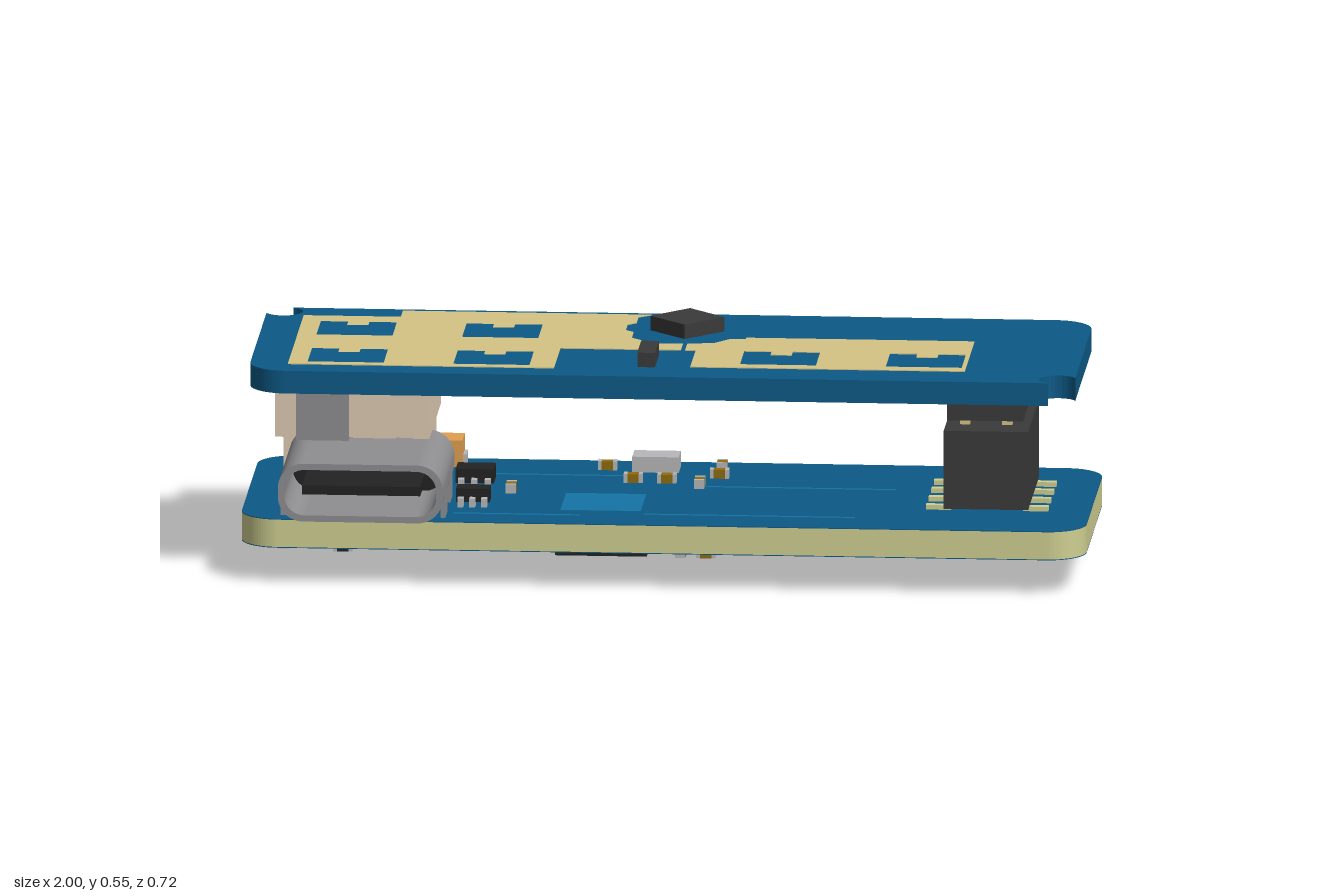
import * as THREE from 'three';

const COL = { blue: 0x0c5a87, light: 0x1474a6, khaki: 0xcfcf92, gold: 0xd6c485, dark: 0x3a3a3a, black: 0x222222,
  metal: 0x8f8f92, silver: 0xb8b8ba, beige: 0xdfccb4, orange: 0xe0a050, brass: 0x8f6c10, button: 0xb5afa6 };
const mats = {};
const mat = c => mats[c] ??= new THREE.MeshStandardMaterial({ color: COL[c] });

function add(parent, name, geo, color) {
  const m = new THREE.Mesh(geo, mat(color));
  m.name = name;
  parent.add(m);
  return m;
}
// box given by its extents on each axis
function box(parent, name, color, [x0, x1], [y0, y1], [z0, z1]) {
  const m = add(parent, name, new THREE.BoxGeometry(x1 - x0, y1 - y0, z1 - z0), color);
  m.position.set((x0 + x1) / 2, (y0 + y1) / 2, (z0 + z1) / 2);
  return m;
}
// closed outline from [x, z] pairs
const path = (pts, Type = THREE.Shape) => new Type(pts.map(([x, z]) => new THREE.Vector2(x, -z)));
// horizontal plate from a shape, between two heights
function plate(parent, name, color, shape, y0, y1) {
  const g = new THREE.ExtrudeGeometry(shape, { depth: y1 - y0, bevelEnabled: false, curveSegments: 10 });
  g.rotateX(-Math.PI / 2).translate(0, y0, 0);
  return add(parent, name, g, color);
}
function roundRect(x0, x1, y0, y1, r, Type = THREE.Shape) {
  const s = new Type(), P = Math.PI;
  s.absarc(x1 - r, y0 + r, r, -P / 2, 0);
  s.absarc(x1 - r, y1 - r, r, 0, P / 2);
  s.absarc(x0 + r, y1 - r, r, P / 2, P);
  s.absarc(x0 + r, y0 + r, r, P, P * 1.5);
  s.closePath();
  return s;
}

function lowerBoard(g) {
  const s = roundRect(-1, 1, -0.31, 0.36, 0.09);
  plate(g, 'boardCore', 'khaki', s, 0.089, 0.155);
  plate(g, 'boardTopMask', 'blue', s, 0.155, 0.157);
  plate(g, 'boardBottomMask', 'blue', s, 0.087, 0.089);
  box(g, 'copperPatch', 'light', [-0.25, -0.06], [0.157, 0.158], [-0.01, 0.17]);
  // traces on the upper face
  for (const [x, z, w] of [[0.2, 0.2, 0.5], [0.3, -0.1, 0.45], [-0.35, 0.22, 0.3], [-0.3, -0.2, 0.35]])
    box(g, 'trace', 'light', [x - w / 2, x + w / 2], [0.157, 0.158], [z - 0.005, z + 0.005]);
  // meander antenna on the lower face
  const w = 0.008;
  const run = [[0.32, 0.08], [0.32, -0.2], [0.52, -0.2], [0.52, 0.0], [0.6, 0.0], [0.6, -0.2], [0.68, -0.2], [0.68, 0.0],
    [0.76, 0.0], [0.76, -0.2], [0.84, -0.2], [0.84, 0.22]];
  for (let i = 1; i < run.length; i++) {
    const [a, b] = [run[i - 1], run[i]];
    box(g, 'antennaTrace', 'light', [Math.min(a[0], b[0]) - w, Math.max(a[0], b[0]) + w], [0.0862, 0.087],
      [Math.min(a[1], b[1]) - w, Math.max(a[1], b[1]) + w]);
  }
}

function upperBoard(g) {
  const s = new THREE.Shape(), P = Math.PI, r = 0.0447, r2 = 0.09;
  // two opposite corners are rounded, the other two have round notches
  s.absarc(-0.98 + r2, -0.31 + r2, r2, P, P * 1.5);
  s.absarc(0.935, -0.27, r, P + 1.107, 0.4636, true);
  s.absarc(0.975 - r2, 0.356 - r2, r2, 0, P / 2);
  s.absarc(-0.94, 0.316, r, 1.107, P + 0.4636, true);
  s.closePath();
  plate(g, 'upperBoard', 'blue', s, 0.461, 0.516);

  // gold areas with notched windows
  const left = path([[-0.89, -0.27], [-0.66, -0.27], [-0.66, -0.335], [-0.07, -0.335], [-0.1, -0.31], [-0.1, -0.25],
    [-0.12, -0.23], [-0.12, -0.17], [-0.1, -0.15], [-0.1, -0.09], [-0.07, -0.06], [-0.03, -0.035], [0.025, -0.035],
    [0.025, 0.03], [-0.26, 0.03], [-0.26, 0.24], [-0.89, 0.24]]);
  const right = path([[0.06, 0.205], [0.71, 0.205], [0.71, -0.11], [0.17, -0.11], [0.17, -0.095], [0.13, -0.09],
    [0.1, -0.05], [0.035, -0.035], [0.035, 0.03], [0.06, 0.03]]);
  const win = (x, z) => path([[x - 0.09, z - 0.07], [x - 0.025, z - 0.07], [x - 0.025, z - 0.035], [x + 0.025, z - 0.035],
    [x + 0.025, z - 0.07], [x + 0.09, z - 0.07], [x + 0.09, z + 0.07], [x - 0.09, z + 0.07]], THREE.Path);
  for (const x of [-0.755, -0.41]) for (const z of [-0.14, 0.145]) left.holes.push(win(x, z));
  for (const x of [0.265, 0.61]) right.holes.push(win(x, 0.1));
  plate(g, 'goldAreaRight', 'gold', left, 0.516, 0.518);
  plate(g, 'goldAreaLeft', 'gold', right, 0.516, 0.518);

  const chip = box(g, 'sensorChip', 'dark', [-0.037, 0.087], [0.516, 0.551], [-0.242, -0.118]);
  chip.rotation.y = Math.PI / 4;
  box(g, 'smallChip', 'dark', [-0.065, -0.023], [0.516, 0.551], [0.083, 0.21]);
}

function usbPort(g) {
  const s = roundRect(-0.905, -0.515, 0.163, 0.303, 0.06);
  s.holes.push(roundRect(-0.89, -0.53, 0.178, 0.288, 0.048, THREE.Path));
  const shell = new THREE.ExtrudeGeometry(s, { depth: 0.38, bevelEnabled: false, curveSegments: 10 });
  add(g, 'portShell', shell.translate(0, 0, -0.02), 'metal');
  const back = new THREE.ExtrudeGeometry(roundRect(-0.89, -0.53, 0.178, 0.288, 0.048), { depth: 0.1, bevelEnabled: false });
  add(g, 'portInside', back.translate(0, 0, -0.02), 'black');
  box(g, 'portTongue', 'black', [-0.85, -0.57], [0.222, 0.244], [0.08, 0.33]);
  for (const x of [-0.905, -0.527]) for (const z of [0.04, 0.2])
    box(g, 'portLeg', 'metal', [x, x + 0.012], [0.15, 0.235], [z, z + 0.07]);
}

function plugStack(g) {
  // socket standing behind the port
  box(g, 'socketBase', 'beige', [-0.92, -0.57], [0.157, 0.2], [-0.2, -0.03]);
  box(g, 'socketBack', 'beige', [-0.92, -0.57], [0.2, 0.33], [-0.2, -0.15]);
  for (const x of [-0.92, -0.6]) box(g, 'socketSide', 'beige', [x, x + 0.03], [0.2, 0.33], [-0.15, -0.03]);
  // housing hanging from the upper board
  box(g, 'plugBody', 'beige', [-0.9, -0.58], [0.31, 0.461], [-0.19, 0.1]);
  for (const x of [-0.925, -0.74, -0.6]) {
    const w = x === -0.74 ? 0.1 : 0.04;
    box(g, 'plugWall', 'beige', [x, x + w], [0.325, 0.45], [-0.205, 0.175]);
  }
  box(g, 'plugClip', 'metal', [-0.88, -0.755], [0.305, 0.455], [0.08, 0.12]);
  for (const x of [-0.86, -0.74, -0.62]) box(g, 'plugPin', 'silver', [x - 0.015, x + 0.015], [0.2, 0.461], [-0.215, -0.19]);
}

function header(g) {
  box(g, 'headerSocket', 'dark', [0.655, 0.855], [0.168, 0.357], [-0.22, 0.137]);
  for (const z of [0.053, -0.037, -0.128]) {
    box(g, 'headerBlock', 'dark', [0.66, 0.84], [0.373, 0.442], [z - 0.042, z + 0.042]);
    box(g, 'headerBlockTop', 'dark', [0.68, 0.82], [0.442, 0.461], [z - 0.036, z + 0.036]);
    for (const x of [0.7, 0.8]) box(g, 'headerPin', 'gold', [x - 0.012, x + 0.012], [0.357, 0.373], [z - 0.012, z + 0.012]);
  }
  for (const z of [0.09, 0.003, -0.086, -0.17]) for (const x of [0.64, 0.87])
    box(g, 'headerFoot', 'khaki', [x - 0.03, x + 0.03], [0.157, 0.168], [z - 0.01, z + 0.01]);
}

// two-ended surface part; dir is +1 above the board, -1 below
function passive(g, x, z, dir, alongX = true, body = 'brass', L = 0.045, W = 0.024, H = 0.022) {
  const p = new THREE.Group();
  p.name = 'surfacePart';
  box(p, 'body', body, [-L * 0.3, L * 0.3], [0, H * 0.95], [-W / 2, W / 2]);
  for (const s of [-1, 1]) box(p, 'endCap', 'silver', [s * L * 0.4 - L * 0.1, s * L * 0.4 + L * 0.1], [0, H], [-W / 2, W / 2]);
  p.position.set(x, dir > 0 ? 0.157 : 0.087 - H, z);
  if (!alongX) p.rotation.y = Math.PI / 2;
  g.add(p);
}

// small black chip with side legs
function legChip(g, x, z, w, d, h) {
  box(g, 'legChipBody', 'black', [x - w / 2, x + w / 2], [0.165, 0.157 + h], [z - d / 2, z + d / 2]);
  for (const s of [-1, 1]) for (const k of [-1, 0, 1])
    box(g, 'chipLeg', 'silver', [x + k * w * 0.35 - 0.007, x + k * w * 0.35 + 0.007], [0.157, 0.178],
      [z + s * (d / 2 + 0.01) - 0.012, z + s * (d / 2 + 0.01) + 0.012]);
}

function topParts(g) {
  for (const x of [-0.56, -0.83]) {
    box(g, 'orangeCapacitor', 'orange', [x - 0.05, x + 0.05], [0.168, 0.232], [-0.3, -0.22]);
    for (const s of [-1, 1]) box(g, 'capacitorEnd', 'silver', [x + s * 0.05 - 0.008, x + s * 0.05 + 0.008], [0.157, 0.195], [-0.285, -0.235]);
  }
  legChip(g, -0.7, -0.26, 0.1, 0.07, 0.045);
  legChip(g, -0.47, -0.1, 0.09, 0.07, 0.042);
  legChip(g, -0.46, 0.11, 0.08, 0.05, 0.04);
  box(g, 'greyButton', 'silver', [-0.11, 0], [0.157, 0.195], [-0.31, -0.24]);
  for (const [x, z, a] of [[0.1, -0.28, 0], [-0.17, -0.27, 1], [0.1, -0.2, 1], [-0.1, -0.14, 1], [-0.02, -0.14, 1], [0.06, -0.1, 0], [-0.38, -0.02, 0]])
    passive(g, x, z, 1, !!a);
}

function bottomParts(g) {
  box(g, 'mainChip', 'black', [-0.262, -0.045], [0.05, 0.087], [-0.04, 0.18]);
  for (let i = 0; i < 8; i++) { // contacts around the main chip
    const t = 0.024 * (i - 3.5);
    for (const s of [-1, 1]) {
      box(g, 'chipContact', 'gold', [-0.1535 + t - 0.005, -0.1535 + t + 0.005], [0.08, 0.087], [0.07 + s * 0.112 - 0.004, 0.07 + s * 0.112 + 0.004]);
      box(g, 'chipContact', 'gold', [-0.1535 + s * 0.111 - 0.004, -0.1535 + s * 0.111 + 0.004], [0.08, 0.087], [0.07 + t - 0.005, 0.07 + t + 0.005]);
    }
  }
  box(g, 'crystal', 'brass', [-0.32, -0.22], [0.07, 0.087], [-0.2, -0.12]);
  box(g, 'crystalLid', 'silver', [-0.31, -0.23], [0.064, 0.07], [-0.19, -0.13]);
  for (const x of [-0.8, -0.615]) {
    box(g, 'buttonBase', 'button', [x - 0.06, x + 0.06], [0.065, 0.087], [-0.22, -0.05]);
    const body = plate(g, 'buttonBody', 'button', path([[x - 0.055, -0.19], [x - 0.03, -0.215], [x + 0.03, -0.215], [x + 0.055, -0.19],
      [x + 0.055, -0.08], [x + 0.03, -0.055], [x - 0.03, -0.055], [x - 0.055, -0.08]]), 0.02, 0.065);
    body.material = mat('button');
    add(g, 'buttonPlunger', new THREE.CylinderGeometry(0.039, 0.039, 0.022, 24), 'black').position.set(x, 0.011, -0.135);
    for (const s of [-1, 1]) for (const z of [-0.19, -0.08])
      box(g, 'buttonLeg', 'silver', [x + s * 0.065 - 0.01, x + s * 0.065 + 0.01], [0.065, 0.087], [z - 0.015, z + 0.015]);
  }
  for (const [x, z, a] of [[0.18, 0.04, 1], [0.14, -0.03, 0], [0.07, -0.04, 1], [0.09, 0.03, 1], [0.03, 0.1, 0], [0.12, 0.11, 1],
    [0.08, 0.17, 1], [0.04, 0.23, 0], [0.1, 0.24, 1], [-0.02, -0.1, 1], [-0.08, -0.12, 0], [-0.15, -0.13, 0],
    [-0.28, -0.25, 1], [-0.2, -0.25, 1], [-0.36, -0.16, 0], [-0.31, 0.02, 0], [-0.31, 0.12, 0],
    [-0.5, 0.19, 0], [-0.68, 0.18, 1], [-0.76, 0.23, 1], [-0.9, 0.2, 0]])
    passive(g, x, z, -1, !!a, x < -0.6 ? 'black' : 'brass');
  // bare solder pads
  for (const [x, z] of [[-0.52, 0.0], [-0.54, 0.1], [-0.9, 0.06], [-0.9, 0.27], [-0.54, 0.27]])
    box(g, 'solderPad', 'khaki', [x - 0.012, x + 0.012], [0.0855, 0.087], [z - 0.03, z + 0.03]);
}

export function createModel() {
  const model = new THREE.Group();
  model.name = 'circuitBoardStack';
  for (const [name, build] of Object.entries({ lowerBoard, upperBoard, usbPort, plugStack, header, topParts, bottomParts })) {
    const part = new THREE.Group();
    part.name = name;
    build(part);
    model.add(part);
  }
  return model;
}
